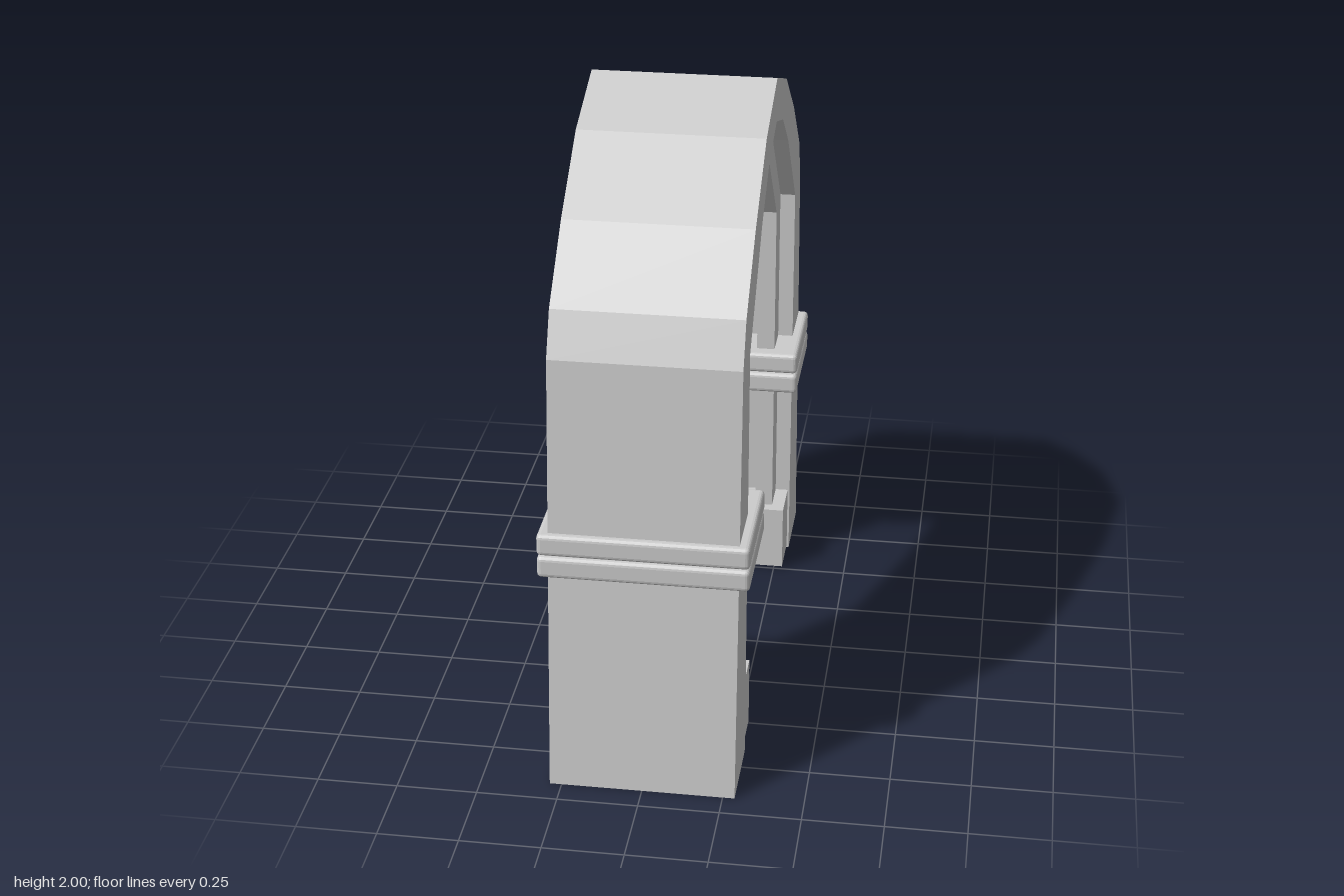
import * as THREE from 'three';
import { RoundedBoxGeometry } from 'three/addons/geometries/RoundedBoxGeometry.js';

const material = new THREE.MeshStandardMaterial({ color: 0xcccccc, flatShading: true });

// Half profiles as [z, y], from the foot up to the crown
const OUTER = [[0.92, 0], [0.81, 1.39], [0.75, 1.525], [0.54, 1.72], [0.28, 1.905], [0, 2]];
const INNER = [[0.66, 0], [0.645, 1.37], [0.37, 1.665], [0.19, 1.8], [0, 1.86]];
const RIB_BACK = [[0.7, 0.1], [0.69, 1.39], [0.4, 1.71], [0.2, 1.85], [0, 1.9]];
const SIDE_RIB = [[0.54, 0.1], [0.527, 1.35], [0.285, 1.61], [0.14, 1.72], [0, 1.75]];
const MIDDLE_RIB = [[0.502, 0.1], [0.49, 1.285], [0.31, 1.525], [0.23, 1.6], [0.15, 1.65], [0.065, 1.68], [0, 1.68]];

// Mirror a half profile into a foot-to-foot path
function span(half) {
  const other = half.slice(0, -1).reverse().map(([z, y]) => [-z, y]);
  return [...half, ...other];
}

// Solid arch between two profiles, extruded across x
function arch(name, outer, inner, x0, x1) {
  const points = [...span(outer), ...span(inner).reverse()];
  const shape = new THREE.Shape(points.map(([z, y]) => new THREE.Vector2(z, y)));
  const geometry = new THREE.ExtrudeGeometry(shape, { depth: x1 - x0, bevelEnabled: false });
  geometry.rotateY(-Math.PI / 2).translate(x1, 0, 0);
  const mesh = new THREE.Mesh(geometry, material);
  mesh.name = name;
  return mesh;
}

function block(name, width, y0, y1, z0, z1, radius) {
  const size = [width, y1 - y0, z1 - z0];
  const geometry = radius ? new RoundedBoxGeometry(...size, 2, radius) : new THREE.BoxGeometry(...size);
  const mesh = new THREE.Mesh(geometry, material);
  mesh.position.set(0, (y0 + y1) / 2, (z0 + z1) / 2);
  mesh.name = name;
  return mesh;
}

export function createModel() {
  const group = new THREE.Group();
  group.name = 'archway';

  // Main arch and the mouldings lining its opening
  group.add(arch('mainArch', OUTER, INNER, -0.287, 0.287));
  group.add(arch('leftRib', RIB_BACK, SIDE_RIB, 0.177, 0.237));
  group.add(arch('rightRib', RIB_BACK, SIDE_RIB, -0.237, -0.177));
  group.add(arch('middleRib', RIB_BACK, MIDDLE_RIB, -0.057, 0.057));

  // Plinth and double band on each leg
  for (const [side, turn] of [['front', 0], ['back', Math.PI]]) {
    const leg = new THREE.Group();
    leg.name = side + 'LegTrim';
    leg.add(block('plinthFoot', 0.53, 0, 0.03, 0.54, 0.7));
    leg.add(block('plinth', 0.56, 0.01, 0.235, 0.5, 0.7));
    leg.add(block('lowerBand', 0.64, 0.7, 0.77, 0.485, 0.875, 0.014));
    leg.add(block('upperBand', 0.64, 0.774, 0.844, 0.485, 0.875, 0.014));
    leg.rotation.y = turn;
    group.add(leg);
  }
  return group;
}
